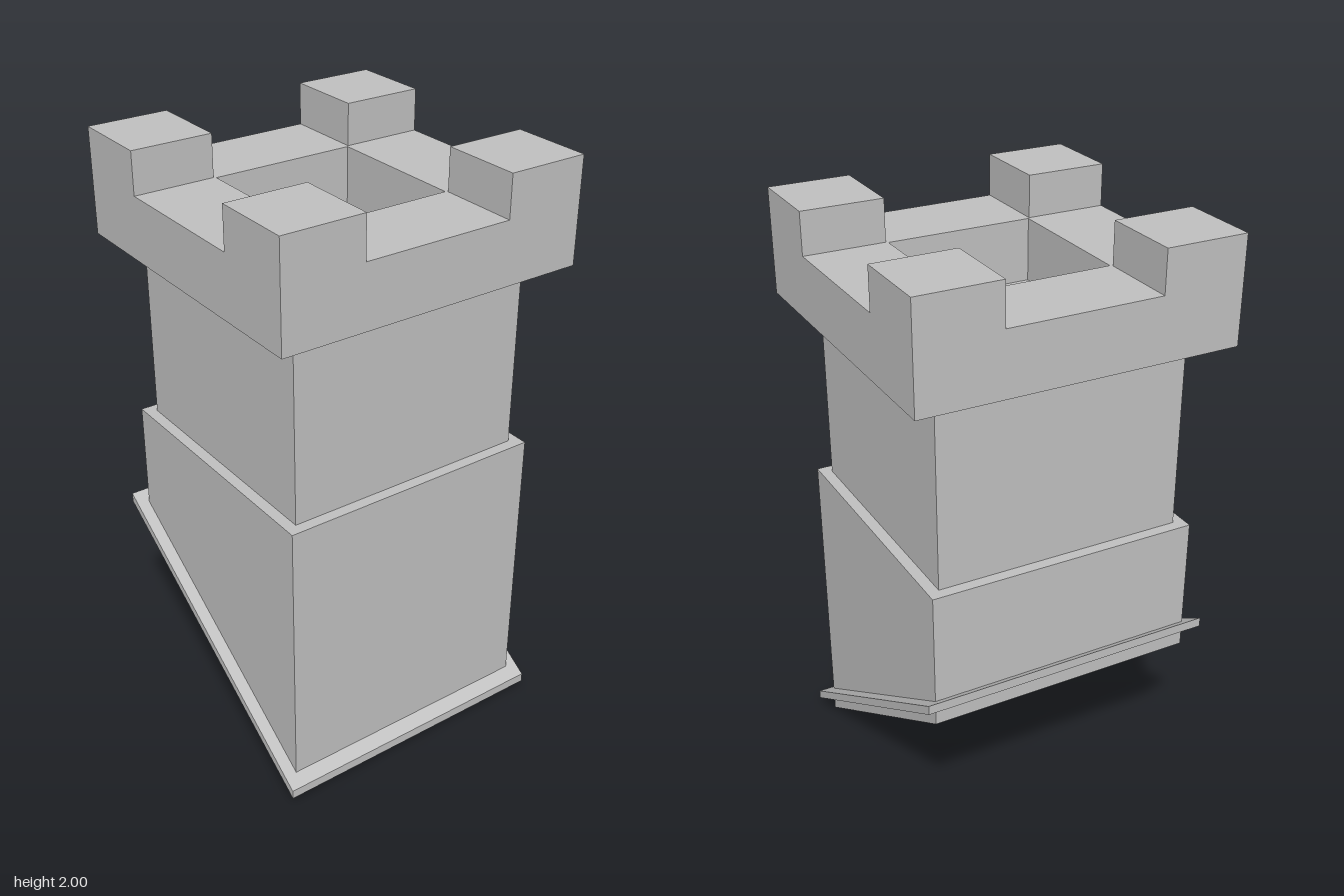
import * as THREE from 'three';

export function createModel() {
  const model = new THREE.Group();
  const stone = new THREE.MeshStandardMaterial({ color: 0xc0c0c0 });
  stone.name = 'light grey stone';

  const add = (name, geometry) => {
    const mesh = new THREE.Mesh(geometry, stone);
    mesh.name = name;
    model.add(mesh);
    return mesh;
  };
  const polygon = (points) => new THREE.Shape(points.map(([x, y]) => new THREE.Vector2(x, y)));
  const square = (r) => polygon([[-r, -r], [r, -r], [r, r], [-r, r]]);
  const extrude = (shape, depth) => new THREE.ExtrudeGeometry(shape, { depth, bevelEnabled: false });

  // Lower block, cut along the roof slope
  const b = 0.453;
  add('base', extrude(polygon([[-b, 0.568], [b, 0], [b, 1.028], [-b, 1.028]]), 2 * b).translate(0, 0, -b));

  // Thin sloping skirt around the base
  const f = 0.495;
  const skirt = polygon([[-f, 0.65], [f, 0.032], [f, 0.064], [-f, 0.682]]);
  add('flashing', extrude(skirt, 2 * f).translate(0, 0, -f));

  // Narrower shaft, whose top is the floor of the cap opening
  add('shaft', new THREE.BoxGeometry(0.83, 0.627, 0.83).translate(0, 1.3415, 0));

  // Square cap with an opening
  const bottom = 1.655, rim = 1.862, half = 0.522, notch = 0.251;
  const ring = square(half);
  ring.holes.push(square(0.245));
  add('cap', extrude(ring, rim - bottom).rotateX(-Math.PI / 2).translate(0, bottom, 0));

  // Raised block at each corner
  const size = half - notch, centre = (half + notch) / 2;
  for (const x of [-1, 1]) {
    for (const z of [-1, 1]) {
      const name = `${z > 0 ? 'front' : 'back'}${x > 0 ? 'Left' : 'Right'}Merlon`;
      add(name, new THREE.BoxGeometry(size, 2 - rim, size)).position.set(x * centre, (2 + rim) / 2, z * centre);
    }
  }
  return model;
}
